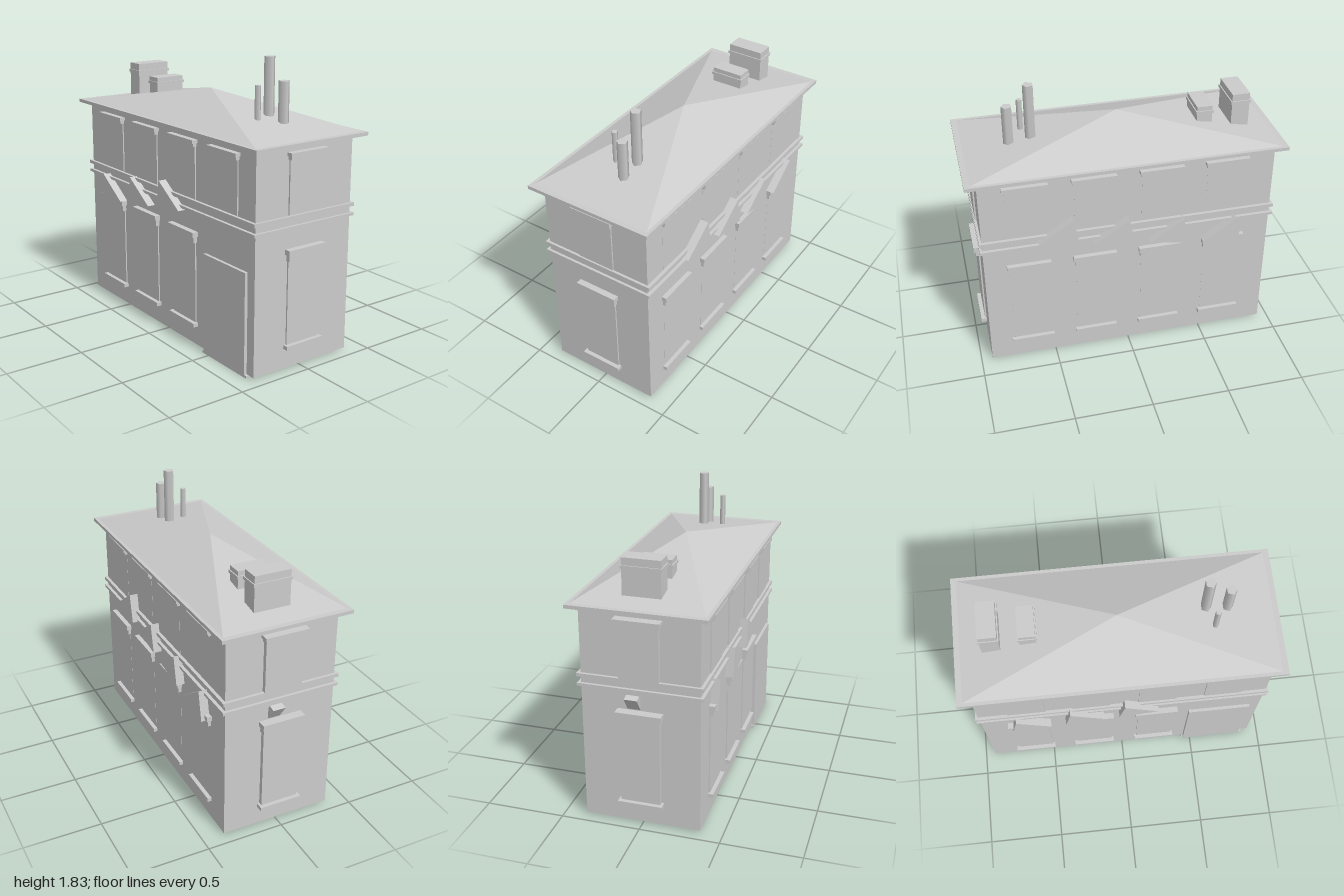
import * as THREE from 'three';

const mat = new THREE.MeshStandardMaterial({ color: 0xcccccc, flatShading: true });
const smooth = new THREE.MeshStandardMaterial({ color: 0xcccccc });

function add(parent, name, geometry, material = mat) {
  const mesh = new THREE.Mesh(geometry, material);
  mesh.name = name;
  parent.add(mesh);
  return mesh;
}

// Box given by its minimum and maximum on each axis
function box(parent, name, [x0, x1], [y0, y1], [z0, z1]) {
  const mesh = add(parent, name, new THREE.BoxGeometry(x1 - x0, y1 - y0, z1 - z0));
  mesh.position.set((x0 + x1) / 2, (y0 + y1) / 2, (z0 + z1) / 2);
  return mesh;
}

// Triangular or other polygonal prism running from z0 to z1
function prism(parent, name, points, z0, z1) {
  const shape = new THREE.Shape(points.map(([x, y]) => new THREE.Vector2(x, y)));
  const geometry = new THREE.ExtrudeGeometry(shape, { depth: z1 - z0, bevelEnabled: false });
  geometry.translate(0, 0, z0);
  return add(parent, name, geometry);
}

// Window facing +z: pane, two-step lintel and an optional sill
function windowUnit(name, bottom, paneTop, step, top, sill) {
  const g = new THREE.Group();
  g.name = name;
  box(g, 'pane', [-0.122, 0.122], [bottom, paneTop], [-0.03, 0.008]);
  box(g, 'lintelLower', [-0.13, 0.13], [paneTop, step], [-0.03, 0.026]);
  box(g, 'lintelUpper', [-0.14, 0.14], [step, top], [-0.03, 0.038]);
  if (sill) box(g, 'sill', [-0.138, 0.138], [bottom - 0.025, bottom], [-0.03, 0.034]);
  return g;
}
const upperWindow = () => windowUnit('upperWindow', 0.972, 1.302, 1.324, 1.345, false);
const lowerWindow = () => windowUnit('lowerWindow', 0.167, 0.696, 0.735, 0.767, true);

export function createModel() {
  const model = new THREE.Group();
  model.name = 'building';

  // Walls and the pair of string courses
  box(model, 'walls', [-0.93, 0.928], [0.015, 1.39], [-0.363, 0.362]);
  for (const [y0, y1] of [[0.945, 0.967], [0.886, 0.904]])
    box(model, 'stringCourse', [-0.948, 0.944], [y0, y1], [-0.384, 0.382]);

  // Windows on the four walls
  const place = (unit, x, z, turn) => {
    unit.position.set(x, 0, z);
    unit.rotation.y = turn;
    model.add(unit);
  };
  [-0.62, -0.2, 0.225, 0.647].forEach((x, i) => {
    place(upperWindow(), x, 0.362, 0);
    place(upperWindow(), x, -0.356, Math.PI);
    if (i < 3) place(lowerWindow(), x, 0.362, 0);
    place(lowerWindow(), x, -0.356, Math.PI);
  });
  for (const make of [upperWindow, lowerWindow]) {
    place(make(), 0.93, 0, Math.PI / 2);
    place(make(), -0.95, 0, -Math.PI / 2);
  }

  // Doorway and threshold
  box(model, 'door', [0.45, 0.863], [0.004, 0.655], [0.34, 0.382]);
  box(model, 'threshold', [0.438, 0.883], [0, 0.016], [0.305, 0.382]);

  // Rising row of wedge awnings: three at the front, four at the back
  for (let i = 0; i < 4; i++) {
    const x = -0.695 + 0.353 * i, y = 0.918 + 0.053 * i;
    const corners = [[x, y], [x - 0.036, y - 0.19], [x + 0.22, y - 0.148]];
    if (i < 3) prism(model, 'frontAwning', corners, 0.34, 0.415);
    prism(model, 'backAwning', corners, -0.418, -0.34);
  }
  prism(model, 'sideAwning', [[-0.99, 0.858], [-0.925, 0.765], [-0.925, 0.835], [-0.945, 0.868]], -0.08, 0);

  // Eaves slab and shallow hipped roof
  box(model, 'eaves', [-1, 1], [1.383, 1.405], [-0.42, 0.42]);
  const roof = new THREE.ConeGeometry(Math.SQRT2, 0.172, 4, 1, true);
  roof.rotateY(Math.PI / 4);
  roof.scale(0.97, 1, 0.4);
  roof.translate(0, 1.49, 0);
  add(model, 'roof', roof);

  // Brick chimneys with a raised band
  for (const [x, z, w, d, y0, y1, band] of [
    [-0.77, -0.017, 0.114, 0.235, 1.4, 1.655, 1.6],
    [-0.543, -0.012, 0.1, 0.205, 1.42, 1.585, 1.547]]) {
    const span = (c, s) => [c - s / 2, c + s / 2];
    box(model, 'chimney', span(x, w), [y0, y1], span(z, d));
    box(model, 'chimneyBand', span(x, w + 0.014), span(band, 0.018), span(z, d + 0.014));
  }

  // Five-sided flue pipes
  for (const [x, z, r, y0, y1] of [
    [0.546, -0.036, 0.034, 1.45, 1.832],
    [0.682, -0.036, 0.034, 1.43, 1.703],
    [0.59, 0.086, 0.019, 1.45, 1.675]]) {
    const pipe = add(model, 'fluePipe', new THREE.CylinderGeometry(r, r, y1 - y0, 5), smooth);
    pipe.position.set(x, (y0 + y1) / 2, z);
    pipe.rotation.y = Math.PI / 2;
  }
  return model;
}
